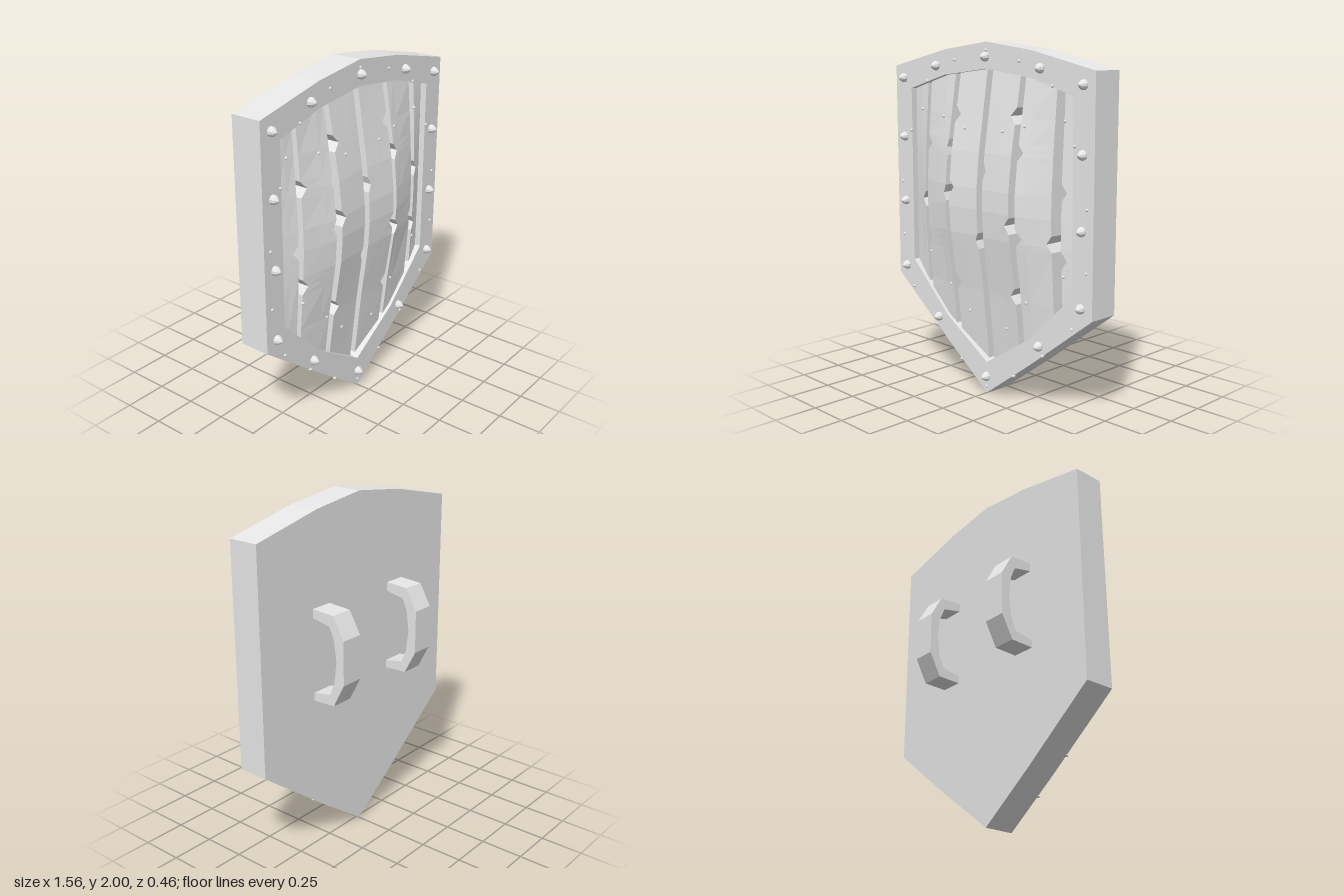
import * as THREE from 'three';
import { mergeVertices } from 'three/addons/utils/BufferGeometryUtils.js';

const steel = new THREE.MeshStandardMaterial({ color: 0xe7e7e7, flatShading: true });
steel.name = 'pale grey';

const BACK = -0.02, FLOOR = -0.012, FACE = 0.16;
// right half of each outline, bottom to top
const OUTER = [[0, 0], [0.34, 0.25], [0.78, 0.59], [0.78, 1.86], [0.34, 1.957], [0, 2]];
const INNER = [[0, 0.185], [0.34, 0.4], [0.64, 0.69], [0.64, 1.73], [0.34, 1.815], [0, 1.855]];

// piecewise linear lookup
function lerpTable(table, t) {
  if (t <= table[0][0]) return table[0][1];
  for (let i = 1; i < table.length; i++) {
    const [a, va] = table[i - 1], [b, vb] = table[i];
    if (t <= b) return va + (vb - va) * (t - a) / (b - a);
  }
  return table[table.length - 1][1];
}

const bottomTable = INNER.slice(0, 3);
const topTable = INNER.slice(3).reverse();
const clampY = (x, y) => Math.min(Math.max(y, lerpTable(bottomTable, Math.abs(x))), lerpTable(topTable, Math.abs(x)));

// plank surface: a bulge along y that flattens out toward the sides
const bulge = [[0.18, 0], [0.6, 0.05], [0.93, 0.1], [1.08, 0.11], [1.2, 0.107], [1.4, 0.085], [1.6, 0.05], [1.86, 0.005]];
const strength = [[0, 0.88], [0.235, 1], [0.275, 0.92], [0.5, 0.45], [0.525, 0.38], [0.64, 0.05]];
const surfaceZ = (x, y) => 0.12 + lerpTable(bulge, y) * lerpTable(strength, Math.abs(x));

function outline(half, Type = THREE.Shape) {
  const mirrored = half.slice(1, -1).reverse().map(([x, y]) => [-x, y]);
  return new Type([...half, ...mirrored].map(([x, y]) => new THREE.Vector2(x, y)));
}

function slab(shape, z0, z1) {
  return new THREE.ExtrudeGeometry(shape, { depth: z1 - z0, bevelEnabled: false }).translate(0, 0, z0);
}

// plank lofted from bottom to top; nicks are [y, x of the notch tip]
function plankGeometry({ left, right, leftNicks = [], rightNicks = [] }) {
  const edge = (x, nicks) => {
    const pts = nicks.flatMap(([y, tip]) => [[y - 0.045, x], [y, tip], [y + 0.045, x]]);
    return [[0, x], ...pts, [2, x]];
  };
  const leftEdge = edge(left, leftNicks), rightEdge = edge(right, rightNicks);
  // the middle column follows the corner of the rim where a plank crosses it
  const centre = (left + right) / 2;
  const mid = Math.abs(Math.abs(centre) - 0.38) < 0.06 ? Math.sign(centre) * 0.34 : centre;
  const rows = [...new Set([...bulge, ...leftEdge, ...rightEdge].map(p => p[0]))].sort((a, b) => a - b);
  const pos = [], index = [];
  rows.forEach((y, r) => {
    const l = lerpTable(leftEdge, y), rt = lerpTable(rightEdge, y);
    for (const [x, raised] of [[l, 0], [l, 1], [mid, 1], [rt, 1], [rt, 0]]) {
      const cy = clampY(x, y);
      pos.push(x, cy, raised ? surfaceZ(x, cy) : FLOOR);
    }
    if (r === 0) return;
    for (let c = 0; c < 4; c++) {
      const a = (r - 1) * 5 + c, b = a + 5;
      index.push(a, a + 1, b + 1, a, b + 1, b);
    }
  });
  // end caps
  const e = (rows.length - 1) * 5;
  for (let c = 1; c < 4; c++) index.push(0, c + 1, c, e, e + c, e + c + 1);
  let g = new THREE.BufferGeometry();
  g.setAttribute('position', new THREE.Float32BufferAttribute(pos, 3));
  g.setIndex(index);
  g = mergeVertices(g, 1e-5);
  g.computeVertexNormals();
  return g;
}

const PLANKS = [
  { left: -0.64, right: -0.52, rightNicks: [[1.08, -0.555]] },
  { left: -0.49, right: -0.275, leftNicks: [[0.86, -0.455], [1.42, -0.45]], rightNicks: [[1.15, -0.295], [1.41, -0.287]] },
  { left: -0.235, right: -0.02, leftNicks: [[0.63, -0.195], [1.19, -0.2], [1.6, -0.195]], rightNicks: [[0.9, -0.04]] },
  { left: 0.025, right: 0.24, leftNicks: [[1.3, 0.045]], rightNicks: [[0.62, 0.205], [1.02, 0.205], [1.61, 0.2]] },
  { left: 0.28, right: 0.5, leftNicks: [[0.96, 0.32], [1.42, 0.315]], rightNicks: [[0.95, 0.47]] },
  { left: 0.555, right: 0.64, leftNicks: [[0.87, 0.585], [1.23, 0.585]] },
];

// mirrored pairs, or single when x is 0
const STUDS = [[0, 1.92], [0.41, 1.865], [0.705, 1.79], [0.705, 1.44], [0.705, 1.05], [0.705, 0.645], [0.41, 0.375], [0, 0.1]];
const RIM_NAILS = [[0, 1.955], [0.255, 1.9], [0.735, 1.165], [0.735, 0.835], [0.645, 0.52],
  [0.435, 0.325], [0.215, 0.155], [0, 0.04], [0.648, 1.48], [0.492, 1.777]];
const PLANK_NAILS = [[-0.57, 1.61], [-0.35, 1.58], [-0.15, 1.525], [0.15, 1.525], [0.305, 1.56], [0.56, 1.6],
  [-0.485, 0.765], [0.565, 0.785], [-0.295, 0.6], [0.315, 0.6], [-0.145, 0.465], [0.15, 0.415]];
const mirror = list => list.flatMap(([x, y]) => (x ? [[x, y], [-x, y]] : [[x, y]]));

function lathe(points, sides) {
  return new THREE.LatheGeometry(points.map(([r, h]) => new THREE.Vector2(r, h)), sides).rotateX(Math.PI / 2);
}

export function createModel() {
  const model = new THREE.Group();
  const add = (name, geometry, x = 0, y = 0, z = 0, parent = model) => {
    const mesh = new THREE.Mesh(geometry, steel);
    mesh.name = name;
    mesh.position.set(x, y, z);
    parent.add(mesh);
  };
  const group = name => {
    const g = new THREE.Group();
    g.name = name;
    model.add(g);
    return g;
  };

  // body
  add('backPlate', slab(outline(OUTER), BACK, FLOOR));
  const ring = outline(OUTER);
  ring.holes.push(outline(INNER, THREE.Path));
  add('rim', slab(ring, FLOOR, FACE));

  // curved, chipped planks
  const planks = group('planks');
  PLANKS.forEach(p => add('plank', plankGeometry(p), 0, 0, 0, planks));

  // pointed studs and small nails
  const studs = group('studs');
  const stud = lathe([[0.027, 0], [0.027, 0.01], [0.02, 0.024], [0.009, 0.036], [0, 0.042]], 10);
  mirror(STUDS).forEach(([x, y]) => add('stud', stud, x, y, FACE, studs));
  const nails = group('nails');
  const nail = lathe([[0.009, -0.01], [0.009, 0.003], [0.005, 0.008], [0, 0.009]], 8);
  mirror(RIM_NAILS).forEach(([x, y]) => add('rimNail', nail, x, y, FACE, nails));
  PLANK_NAILS.forEach(([x, y]) => add('plankNail', nail, x, y, surfaceZ(x, y), nails));

  // two grips on the back
  const grip = new THREE.Shape([[0.015, 1.435], [0.16, 1.425], [0.23, 1.3], [0.23, 1.05], [0.16, 0.915], [0.015, 0.91],
    [0.015, 0.955], [0.135, 0.975], [0.165, 1.05], [0.18, 1.17], [0.165, 1.29], [0.135, 1.36], [0.015, 1.385]]
    .map(([x, y]) => new THREE.Vector2(x, y)));
  const gripGeometry = new THREE.ExtrudeGeometry(grip, { depth: 0.135, bevelEnabled: false })
    .translate(0, 0, -0.0675).rotateY(Math.PI / 2);
  add('leftHandle', gripGeometry, 0.317);
  add('rightHandle', gripGeometry, -0.317);
  return model;
}
